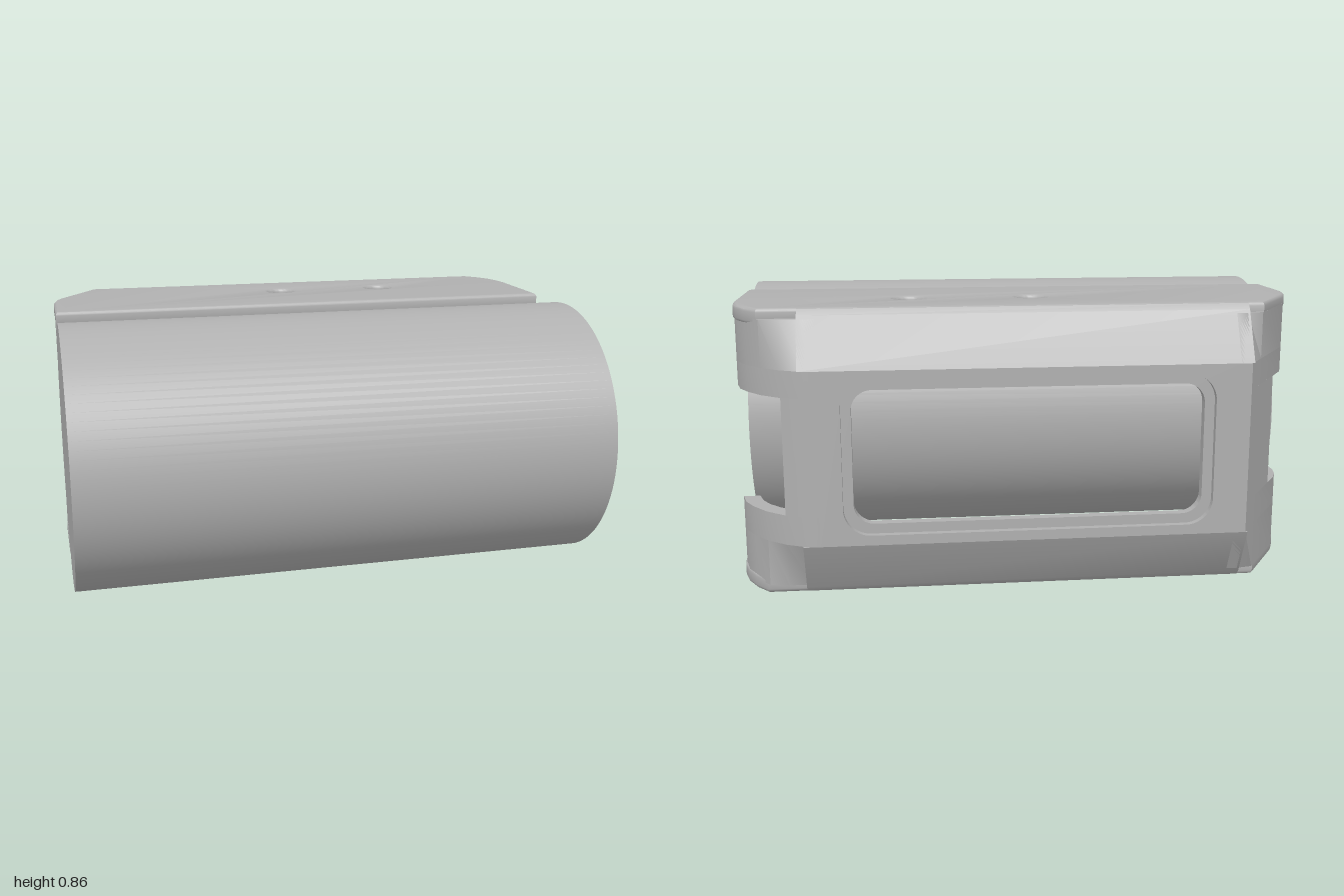
import * as THREE from 'three';
import { toCreasedNormals } from 'three/addons/utils/BufferGeometryUtils.js';

const MID = 0.43; // height of the horizontal symmetry plane
const SIDE = -0.683; // outer face of the side wall

export function createModel() {
  const grey = new THREE.MeshStandardMaterial({ color: 0xb0b0b0 });
  grey.name = 'plain grey';

  const model = new THREE.Group();
  model.name = 'cylinderWithBracket';
  // Everything is laid out along z, then the whole assembly is turned
  const assembly = new THREE.Group();
  assembly.name = 'assembly';
  assembly.rotation.y = -0.375;
  model.add(assembly);

  const add = (name, geometry) => {
    const mesh = new THREE.Mesh(toCreasedNormals(geometry, 0.55), grey);
    mesh.name = name;
    assembly.add(mesh);
    return mesh;
  };
  const shapeOf = (pts) => new THREE.Shape(pts.map(([a, b]) => new THREE.Vector2(a, b)));

  // Footprint in x,z raised between two heights
  const slab = (shape, y0, y1, bevel = 0) => {
    const g = new THREE.ExtrudeGeometry(shape, {
      depth: y1 - y0 - 2 * bevel, curveSegments: 20,
      bevelEnabled: bevel > 0, bevelSize: bevel, bevelThickness: bevel,
      bevelOffset: -bevel, bevelSegments: 3,
    });
    g.rotateX(Math.PI / 2);
    g.translate(0, y1 - bevel, 0);
    return g;
  };

  // Solid cylinder
  const cylinder = new THREE.CylinderGeometry(0.43, 0.43, 1.72, 96);
  cylinder.rotateX(Math.PI / 2);
  cylinder.translate(0.148, MID, -0.02);
  add('cylinder', cylinder);

  // Top and bottom plates with two screw holes each
  const plate = shapeOf([
    [-0.09, 0.84], [-0.317, 0.84], [-0.36, 0.832], [-0.4, 0.815], [-0.595, 0.689],
    [-0.595, -0.805], [-0.55, -0.845], [-0.5, -0.873], [-0.45, -0.888], [-0.4, -0.893], [-0.09, -0.887],
  ]);
  for (const z of [-0.366, 0.011]) {
    plate.holes.push(new THREE.Path().absarc(-0.381, z, 0.047, 0, Math.PI * 2, true));
  }
  add('topPlate', slab(plate, 0.81, 0.86, 0.012));
  add('bottomPlate', slab(plate, 0, 0.05, 0.012));

  // Side wall: two layers, the inner one with a smaller window, making a recessed rim
  const windowPath = (hw, hh, r) => {
    const p = new THREE.Path();
    const cz = -0.022;
    p.absarc(cz + hw - r, MID + hh - r, r, 0, Math.PI / 2);
    p.absarc(cz - hw + r, MID + hh - r, r, Math.PI / 2, Math.PI);
    p.absarc(cz - hw + r, MID - hh + r, r, Math.PI, Math.PI * 1.5);
    p.absarc(cz + hw - r, MID - hh + r, r, Math.PI * 1.5, Math.PI * 2);
    p.closePath();
    return p;
  };
  const sideLayer = (name, x, depth, hw, hh, r) => {
    const s = shapeOf([[-0.64, 0.17], [0.6, 0.17], [0.6, 0.69], [-0.64, 0.69]]);
    s.holes.push(windowPath(hw, hh, r));
    const g = new THREE.ExtrudeGeometry(s, { depth, bevelEnabled: false, curveSegments: 10 });
    g.rotateY(-Math.PI / 2);
    g.translate(x, 0, 0);
    add(name, g);
  };
  sideLayer('sideWallOuter', SIDE + 0.02, 0.02, 0.55, 0.23, 0.08);
  sideLayer('sideWallInner', SIDE + 0.05, 0.03, 0.52, 0.2, 0.06);

  // Sloping panels joining the side wall to the plates
  const slope = [[-0.57, 0.86], [-0.595, 0.857], [-0.611, 0.84], [SIDE, 0.69], [SIDE + 0.05, 0.69], [-0.57, 0.81]];
  for (const top of [true, false]) {
    const pts = slope.map(([x, y]) => [x, top ? y : 2 * MID - y]);
    const g = new THREE.ExtrudeGeometry(shapeOf(pts), { depth: 1.33, bevelEnabled: false });
    g.translate(0, 0, -0.69);
    add(top ? 'upperSlope' : 'lowerSlope', g);
  }

  // End walls wrap around the corners; the notch leaves only a stub at mid height
  const frontWall = [
    [SIDE, 0.633], [-0.605, 0.683], [-0.4, 0.815], [-0.36, 0.83], [-0.317, 0.838], [-0.25, 0.838],
    [-0.25, 0.788], [-0.305, 0.788], [-0.38, 0.767], [-0.633, 0.6], [SIDE, 0.6],
  ];
  const backWall = [
    [SIDE, -0.64], [SIDE, -0.67], [-0.65, -0.74], [-0.605, -0.798], [-0.55, -0.842], [-0.5, -0.87], [-0.44, -0.885],
    [-0.44, -0.835], [-0.49, -0.82], [-0.53, -0.797], [-0.57, -0.76], [-0.61, -0.7], [-0.633, -0.64],
  ];
  const frontStub = [[SIDE, 0.633], [-0.47, 0.77], [-0.443, 0.726], [-0.633, 0.6], [SIDE, 0.6]];
  const backStub = [[SIDE, -0.64], [SIDE, -0.67], [-0.65, -0.74], [-0.61, -0.715], [-0.633, -0.64]];

  // Keep the corners inside the sloping side profile
  const clampToSlope = (g) => {
    const p = g.attributes.position;
    for (let i = 0; i < p.count; i++) {
      const h = Math.max(0, Math.abs(p.getY(i) - MID) - 0.26);
      p.setX(i, Math.max(p.getX(i), SIDE + h * 0.48));
    }
    return g;
  };
  const bands = [[0.03, 0.17], [0.17, 0.26], [0.61, 0.69], [0.69, 0.83]];
  for (const [name, wall, stub] of [['front', frontWall, frontStub], ['back', backWall, backStub]]) {
    for (const [y0, y1] of bands) add(name + 'EndWall', clampToSlope(slab(shapeOf(wall), y0, y1)));
    add(name + 'NotchStub', slab(shapeOf(stub), 0.26, 0.61));
  }

  return model;
}
